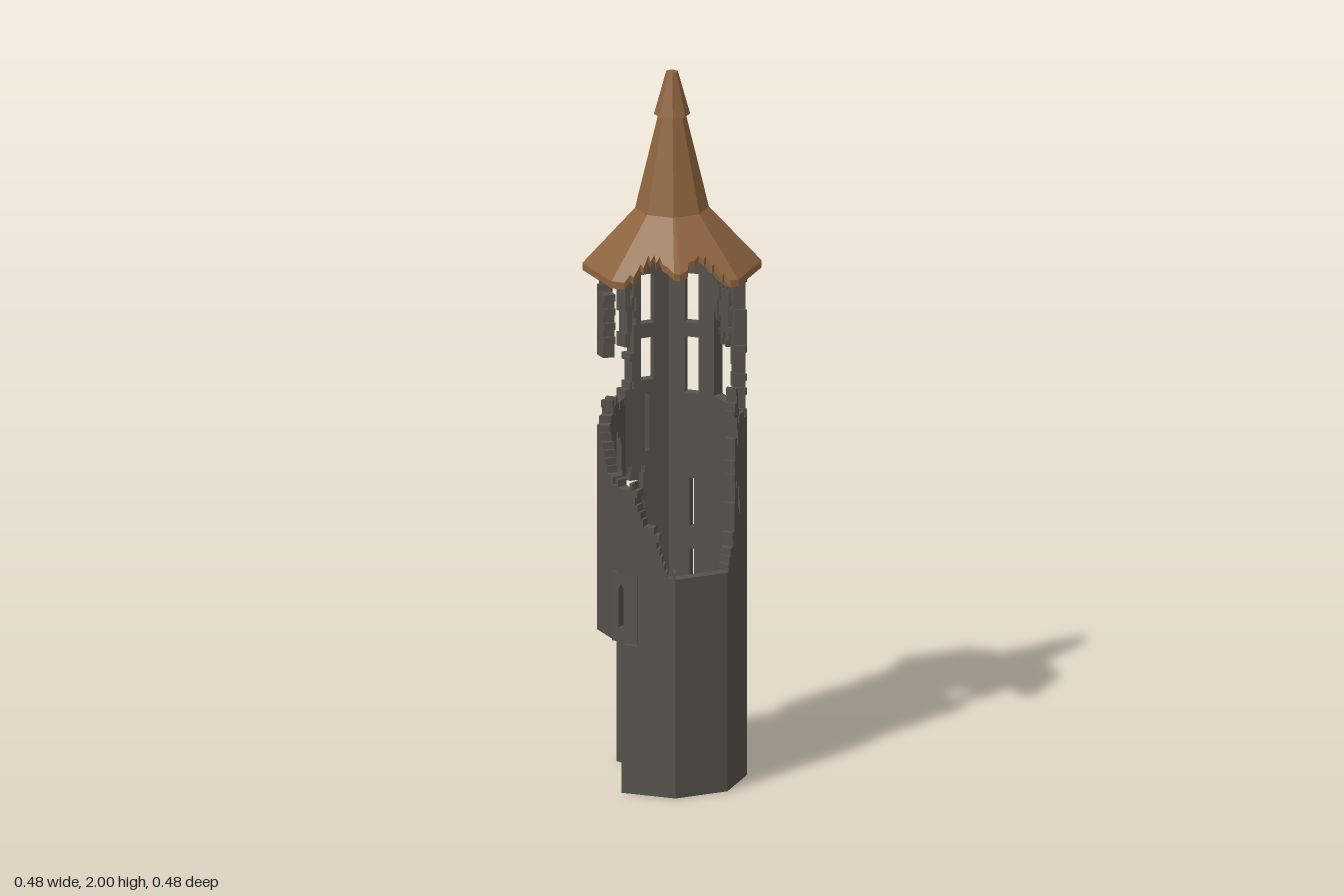
import * as THREE from 'three';

const TURN = THREE.MathUtils.degToRad(-9.7); // twist of the octagon about y
const SIDE = Math.PI / 4;
const COLS = 20, ROW = 0.02, ROWS = 72;      // masonry grid: columns per side, course height
const OUTER = 0.203, INNER = 0.17;

// Collects quads (corners counter-clockwise from outside) into a flat-shaded geometry
function quadBuilder() {
  const pos = [];
  return {
    quad(a, b, c, d) { for (const p of [a, b, c, a, c, d]) pos.push(p.x, p.y, p.z); },
    build() {
      const g = new THREE.BufferGeometry();
      g.setAttribute('position', new THREE.Float32BufferAttribute(pos, 3));
      g.computeVertexNormals();
      return g;
    },
  };
}

// Point on an octagon; w counts sides from the front corner towards +x
function octPoint(w, y, r) {
  const f = Math.floor(w), u = w - f;
  const a = TURN + f * SIDE, b = a + SIDE;
  return new THREE.Vector3(
    r * ((1 - u) * Math.sin(a) + u * Math.sin(b)), y,
    r * ((1 - u) * Math.cos(a) + u * Math.cos(b)));
}

function hash(a, b, seed) {
  const s = Math.sin(a * 127.1 + b * 311.7 + seed * 74.7) * 43758.5453;
  return s - Math.floor(s) - 0.5;
}

// Height of the broken wall top around the tower: [w, y]
const WALL_TOP = [
  [0, 0.86], [0.25, 0.84], [0.45, 0.76], [0.7, 0.69], [0.98, 0.62], [2, 0.62], [2.3, 0.7],
  [2.42, 0.95], [2.6, 1.04], [3, 1.05], [3.98, 1.05], [4.02, 1.46], [5.75, 1.46], [5.82, 1.08],
  [6, 1.04], [6.6, 1.05], [6.9, 1.02], [7.2, 0.96], [7.5, 0.89], [8, 0.86],
];
// Areas as [w0, w1, y0, y1]
const OPENINGS = [
  [6, 8, 0, 0.42], [7.75, 8, 0.42, 0.62], [0, 0.3, 0.42, 0.62],  // open base and corner panel
  [4.1, 4.5, 0.22, 0.34],                                        // back hatch
  [4.45, 4.55, 0.46, 0.6], [4.45, 4.55, 0.66, 0.8], [5.45, 5.55, 0.88, 1.04], // slits
  [4.35, 4.65, 1.04, 1.2], [4.35, 4.65, 1.24, 1.38],             // upper windows
  [5.35, 5.65, 1.08, 1.2], [5.35, 5.65, 1.24, 1.38],
];
const BREACHES = [[5.6, 6.6, 0.64, 0.82], [6.2, 6.6, 0.78, 0.94], [2.5, 2.62, 0.78, 0.86]];
const REMNANTS = [
  [7, 7.28, 1.2, 1.38], [6.75, 6.95, 1.2, 1.46], [5.86, 6, 1.18, 1.46],
  [3, 3.16, 1.04, 1.46], [3.3, 3.75, 1.22, 1.38], [3.8, 3.96, 1.26, 1.46], [2.42, 2.6, 1.04, 1.1],
];

const inside = (list, w, y) =>
  list.some(([w0, w1, y0, y1]) => w > w0 && w < w1 && y > y0 && y < y1);

function topAt(w) {
  const i = WALL_TOP.findIndex((p) => p[0] >= w);
  const [w1, y1] = WALL_TOP[i], [w0, y0] = WALL_TOP[Math.max(i - 1, 0)];
  return w1 === w0 ? y1 : y0 + (y1 - y0) * (w - w0) / (w1 - w0);
}

// Whether a masonry cell still stands; ruined edges are shifted stone by stone
function stands(c, row) {
  if (row < 0 || row >= ROWS) return false;
  c = (c + 8 * COLS) % (8 * COLS);
  const w = (c + 0.5) / COLS, y = (row + 0.5) * ROW;
  if (inside(OPENINGS, w, y)) return false;
  if (y < 0.62) return true;
  if (w > 1 && w < 2) return false;
  const stone = Math.floor((c + (row % 2)) / 2), course = Math.floor(row / 2);
  const jw = (w + hash(stone, course, 1) * 0.15 + 8) % 8;
  const jy = y + hash(stone, course, 2) * 0.05;
  if (inside(REMNANTS, jw, jy)) return true;
  if (inside(BREACHES, jw, jy)) return false;
  if (w > 3 && w < 4) return y < 1.05;
  return jy < topAt(w > 4 && w < 5.6 ? w : jw);
}

function ruinedWalls() {
  const b = quadBuilder();
  for (let c = 0; c < 8 * COLS; c++) {
    for (let row = 0; row < ROWS; row++) {
      if (!stands(c, row)) continue;
      const l = c / COLS, r = (c + 1) / COLS, y0 = row * ROW, y1 = y0 + ROW;
      const corner = (w, y, rad) => octPoint(w, y, rad);
      const [olb, orb, ort, olt] = [[l, y0], [r, y0], [r, y1], [l, y1]].map(([w, y]) => corner(w, y, OUTER));
      const [ilb, irb, irt, ilt] = [[l, y0], [r, y0], [r, y1], [l, y1]].map(([w, y]) => corner(w, y, INNER));
      b.quad(olb, orb, ort, olt);
      b.quad(irb, ilb, ilt, irt);
      if (!stands(c, row + 1)) b.quad(olt, ort, irt, ilt);
      if (!stands(c, row - 1)) b.quad(ilb, irb, orb, olb);
      if (!stands(c - 1, row)) b.quad(ilb, olb, olt, ilt);
      if (!stands(c + 1, row)) b.quad(orb, irb, irt, ort);
    }
  }
  return b.build();
}

// Flared lower roof; breaks are [w, share of the full eave radius left]
function roofSkirt() {
  const R = 0.243, NECK = 0.1;
  const breaks = [
    [0.2, 1], [0.24, 0.93], [0.31, 0.95], [0.35, 0.83], [0.42, 0.86], [0.45, 0.75], [0.52, 0.8],
    [0.57, 0.74], [0.63, 0.81], [0.68, 0.75], [0.75, 0.81], [0.85, 0.83], [0.97, 0.88],
    [1.08, 0.89], [1.22, 0.87], [1.27, 0.8], [1.4, 0.79], [1.5, 0.75], [1.58, 0.79],
    [1.64, 0.77], [1.68, 0.86], [1.74, 0.84], [1.79, 0.95], [1.83, 0.93], [1.87, 1],
  ];
  const stations = [[0, 1], ...breaks, ...[2, 3, 4, 5, 6, 7, 8].map((w) => [w, 1])];
  const section = ([w, k]) => {
    const y = 1.46 + (1 - k) * R / (R - NECK) * 0.155;
    return [[0.085, 1.595], [k * R * 0.9, y - 0.02], [k * R, y - 0.02], [k * R, y], [NECK, 1.615]]
      .map(([r, h]) => octPoint(w, h, r));
  };
  const b = quadBuilder();
  for (let i = 0; i + 1 < stations.length; i++) {
    const p = section(stations[i]), q = section(stations[i + 1]);
    for (let j = 0; j < 4; j++) b.quad(p[j], q[j], q[j + 1], p[j + 1]);
  }
  return b.build();
}

// Eight-sided turned part with flat faces
function octLathe(profile) {
  const g = new THREE.LatheGeometry(profile.map(([r, y]) => new THREE.Vector2(r, y)), 8, TURN).toNonIndexed();
  g.computeVertexNormals();
  return g;
}

// Flat corner panel with an arrow slit
function slitPanel() {
  const s = new THREE.Shape();
  s.moveTo(-0.07, 0.425); s.lineTo(0.012, 0.425); s.lineTo(0.012, 0.62); s.lineTo(-0.07, 0.62);
  s.closePath();
  const slit = new THREE.Path();
  slit.moveTo(-0.048, 0.465); slit.lineTo(-0.048, 0.575); slit.lineTo(-0.04, 0.592);
  slit.lineTo(-0.032, 0.575); slit.lineTo(-0.032, 0.465); slit.closePath();
  s.holes.push(slit);
  return new THREE.ExtrudeGeometry(s, { depth: 0.028, bevelEnabled: false }).translate(0, 0, 0.165);
}

export function createModel() {
  const stone = new THREE.MeshStandardMaterial({ color: 0x55514b });
  stone.name = 'dark stone';
  const shingle = new THREE.MeshStandardMaterial({ color: 0x8e643f });
  shingle.name = 'brown shingle';

  const tower = new THREE.Group();
  tower.name = 'ruinedTower';
  const add = (name, geometry, material) => {
    const mesh = new THREE.Mesh(geometry, material);
    mesh.name = name;
    tower.add(mesh);
  };
  add('walls', ruinedWalls(), stone);
  add('slitPanel', slitPanel(), stone);
  add('roofSkirt', roofSkirt(), shingle);
  add('spire', octLathe([[0.1, 1.615], [0.036, 1.885]]), shingle);
  add('spireCap', octLathe([[0.034, 1.88], [0.049, 1.88], [0.016, 2], [0, 2]]), shingle);
  return tower;
}
